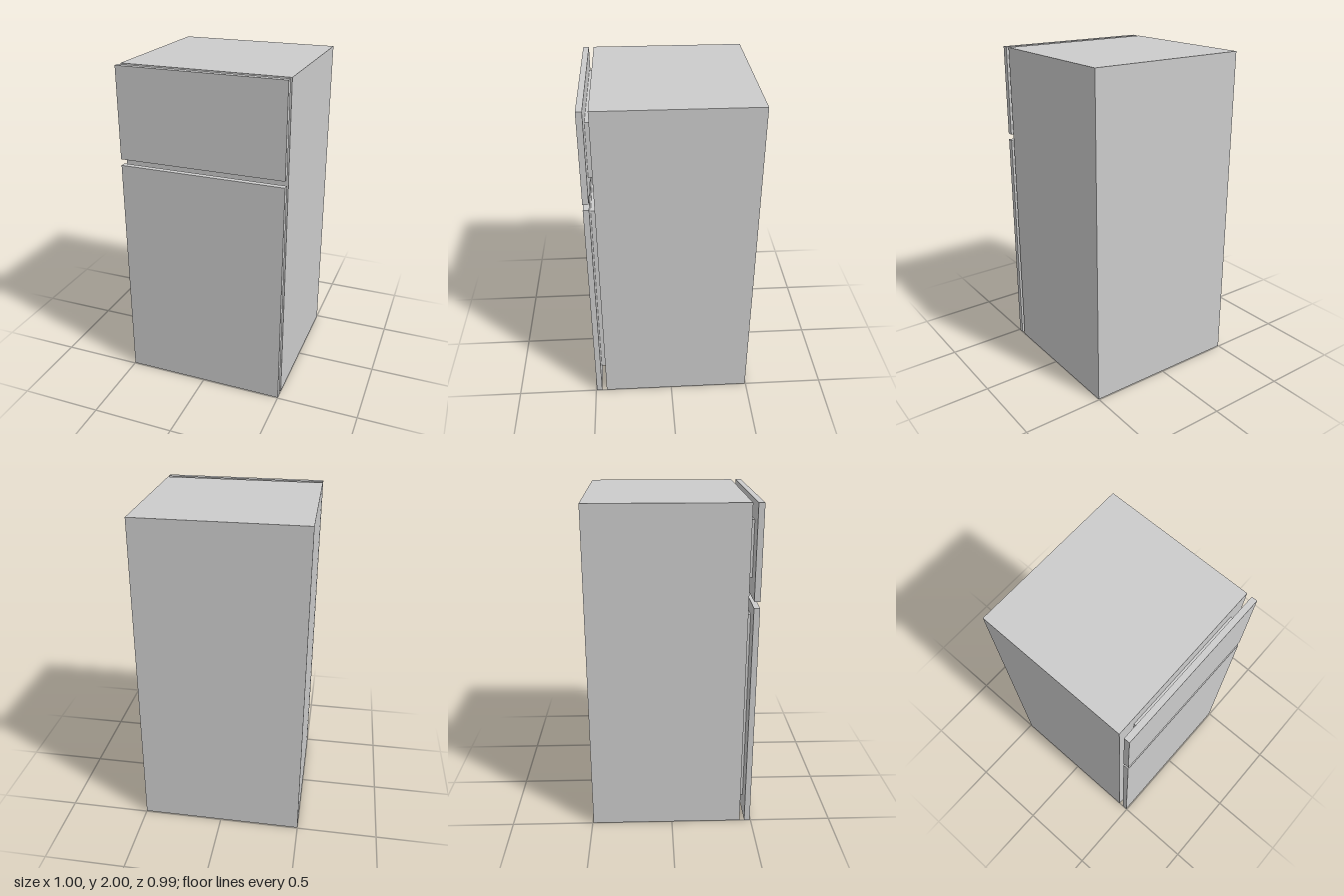
import * as THREE from 'three';

const WIDTH = 1;
const BACK = -0.495, BODY_FRONT = 0.43, DOOR_BACK = 0.46, DOOR_FRONT = 0.495;

export function createModel() {
  const group = new THREE.Group();
  const material = new THREE.MeshStandardMaterial({ color: 0xcccccc, flatShading: true });

  // Box centred on x, given by its width and its y and z ranges
  function addBox(name, width, y0, y1, z0, z1) {
    const mesh = new THREE.Mesh(new THREE.BoxGeometry(width, y1 - y0, z1 - z0), material);
    mesh.position.set(0, (y0 + y1) / 2, (z0 + z1) / 2);
    mesh.name = name;
    group.add(mesh);
  }

  // Cabinet
  addBox('cabinet', WIDTH, 0, 2, BACK, BODY_FRONT);

  // Each door panel stands off the cabinet on a smaller inset block
  const doors = [
    { name: 'freezerDoor', y: [1.45, 2], inset: [1.56, 1.89] },
    { name: 'fridgeDoor', y: [0, 1.412], inset: [0.115, 1.34] },
  ];
  for (const { name, y, inset } of doors) {
    addBox(name, WIDTH, y[0], y[1], DOOR_BACK, DOOR_FRONT);
    addBox(name + 'Inset', 0.78, inset[0], inset[1], BODY_FRONT, DOOR_BACK);
  }

  return group;
}
